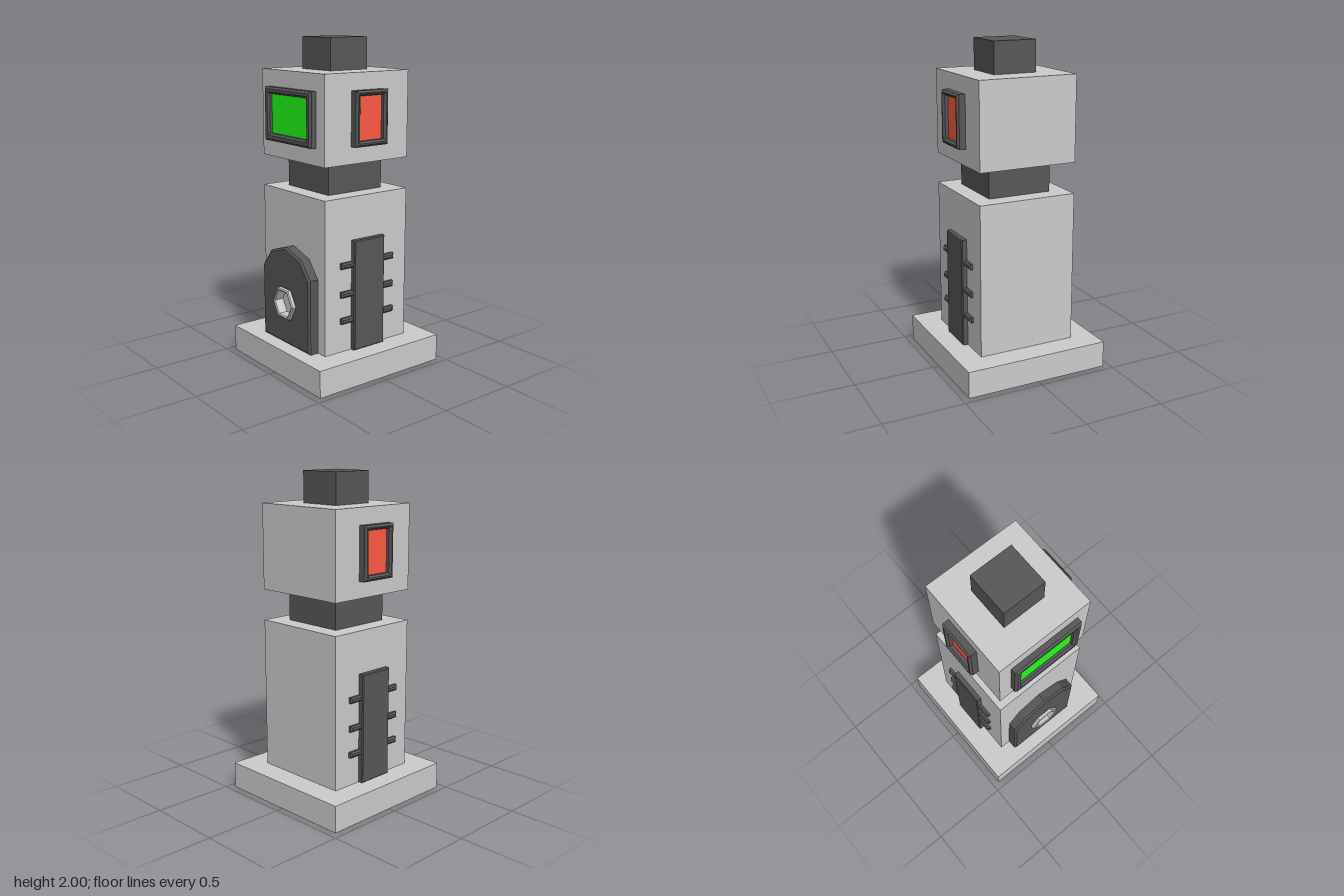
import * as THREE from 'three';

const paint = (color) => new THREE.MeshStandardMaterial({ color });

export function createModel() {
  const model = new THREE.Group();
  const grey = paint(0xcccccc), dark = paint(0x575757);
  const green = paint(0x22ff18), red = paint(0xff5a42);

  const add = (parent, name, geometry, material) => {
    const mesh = new THREE.Mesh(geometry, material);
    mesh.name = name;
    parent.add(mesh);
    return mesh;
  };
  // Box given by its width, depth and vertical / outward limits
  const block = (parent, name, w, d, y0, y1, material, z = 0) =>
    add(parent, name, new THREE.BoxGeometry(w, y1 - y0, d), material).position.set(0, (y0 + y1) / 2, z);

  const outline = (pts) => pts.map(([x, y]) => new THREE.Vector2(x, y));
  const rect = (x, y0, y1) => outline([[-x, y0], [x, y0], [x, y1], [-x, y1]]);
  const hexagon = (r, cy) => Array.from({ length: 6 }, (_, i) =>
    new THREE.Vector2(r * Math.cos(i * Math.PI / 3), cy + r * Math.sin(i * Math.PI / 3)));

  // Chamfered plate from z0 to z1, with an optional opening
  const plate = (parent, name, points, z0, z1, bevel, material, hole) => {
    const shape = new THREE.Shape(points);
    if (hole) shape.holes.push(new THREE.Path(hole));
    const geometry = new THREE.ExtrudeGeometry(shape, {
      depth: z1 - z0 - bevel, bevelEnabled: bevel > 0, bevelThickness: bevel,
      bevelSize: bevel, bevelOffset: -bevel, bevelSegments: 1,
    });
    add(parent, name, geometry, material).position.z = z0;
  };

  // Stacked tower
  block(model, 'base', 0.914, 0.914, 0, 0.165, grey);
  block(model, 'body', 0.618, 0.618, 0.165, 1.1, grey);
  block(model, 'neck', 0.4, 0.4, 1.1, 1.29, dark);
  block(model, 'head', 0.618, 0.618, 1.29, 1.81, grey);
  block(model, 'topCap', 0.272, 0.272, 1.81, 2, dark);

  // Front screen
  plate(model, 'screenFrame', rect(0.23, 1.39, 1.71), 0.305, 0.353, 0.012, dark, rect(0.185, 1.435, 1.67));
  block(model, 'screen', 0.38, 0.02, 1.43, 1.675, green, 0.315);

  // Door with hexagonal socket
  const door = outline([[-0.24, 0.165], [0.24, 0.165], [0.24, 0.62], [0.155, 0.725],
    [0, 0.775], [-0.155, 0.725], [-0.24, 0.62]]);
  plate(model, 'door', door, 0.305, 0.375, 0.012, dark, hexagon(0.095, 0.425));
  plate(model, 'socketRim', hexagon(0.105, 0.425), 0.32, 0.398, 0.006, grey, hexagon(0.085, 0.425));
  add(model, 'socketFloor', new THREE.CircleGeometry(0.1, 6), grey).position.set(0, 0.425, 0.335);

  // Side windows and ribbed panels
  for (const side of [1, -1]) {
    const group = new THREE.Group();
    group.name = side > 0 ? 'leftSide' : 'rightSide';
    group.rotation.y = side * Math.PI / 2;
    model.add(group);
    plate(group, 'windowFrame', rect(0.12, 1.39, 1.71), 0.305, 0.36, 0.012, dark, rect(0.087, 1.423, 1.68));
    block(group, 'window', 0.18, 0.02, 1.415, 1.685, red, 0.318);
    plate(group, 'sidePanel', rect(0.115, 0.165, 0.842), 0.305, 0.342, 0.006, dark);
    for (const y of [0.36, 0.522, 0.698]) {
      plate(group, 'rung', rect(0.2, y - 0.018, y + 0.018), 0.305, 0.333, 0.01, dark);
    }
  }
  return model;
}
